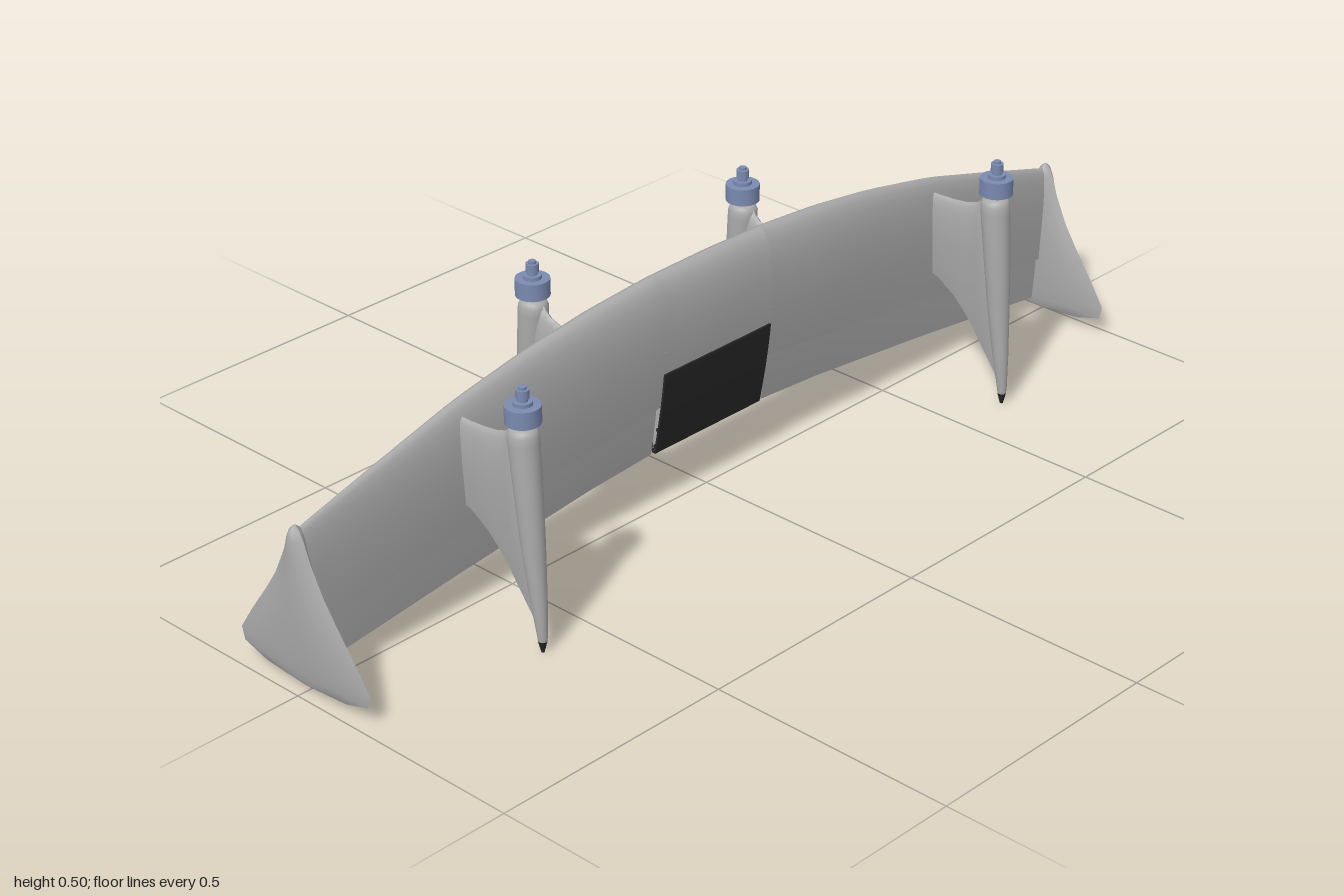
import * as THREE from 'three';
import { toCreasedNormals } from 'three/addons/utils/BufferGeometryUtils.js';

const mat = (name, color) => Object.assign(new THREE.MeshStandardMaterial({ color }), { name });

// piecewise-linear lookup in [[key, value], ...]
function lerpTable(table, k) {
  for (let i = 1; i < table.length; i++) {
    const [a, va] = table[i - 1], [b, vb] = table[i];
    if (k <= b) return va + (vb - va) * Math.max(0, (k - a) / (b - a));
  }
  return table[table.length - 1][1];
}

// wing planform, symmetric in x
const leading = x => lerpTable([[0, 0.481], [0.15, 0.479], [0.3, 0.468], [0.45, 0.449], [0.62, 0.417], [0.8, 0.368], [0.976, 0.318]], Math.abs(x));
const trailing = x => lerpTable([[0, 0.122], [0.14, 0.119], [0.3, 0.109], [0.62, 0.076], [0.96, 0.035]], Math.abs(x));
const hinge = x => 0.22 - (Math.abs(x) - 0.14) * 0.119;
const halfThick = x => lerpTable([[0, 0.033], [0.3, 0.031], [0.62, 0.023], [0.976, 0.012]], Math.abs(x));

// airfoil half thickness, peak about 1
const foil = c => Math.max(0, 10 * (0.2969 * Math.sqrt(c) - 0.126 * c - 0.3516 * c * c + 0.2843 * c ** 3 - 0.1036 * c ** 4));

// closed airfoil ring as [chordwise, thickness] pairs, for chord fractions c0..c1
function foilRing(top, bottom, h, c0 = 0, c1 = 1, n = 14) {
  const side = [];
  for (let i = 0; i <= n; i++) {
    const c = c0 + (c1 - c0) * (1 - Math.cos(Math.PI * i / n)) / 2;
    side.push([top + (bottom - top) * c, h * foil(c)]);
  }
  return [...side, ...side.map(([y, t]) => [y, -t]).reverse()];
}

// solid through rings of equal, even point count; point i is opposite point n-1-i
function loft(rings, crease = 0.7) {
  const n = rings[0].length, last = (rings.length - 1) * n, pos = rings.flat(2), tris = [];
  const quad = (a, b, c, d) => tris.push([a, b, c], [a, c, d]);
  for (let j = 0; j < rings.length - 1; j++) {
    for (let i = 0; i < n; i++) {
      const k = (i + 1) % n;
      quad(j * n + i, j * n + k, j * n + n + k, j * n + n + i);
    }
  }
  for (let i = 0; i < n / 2 - 1; i++) {
    quad(i + 1, i, n - 1 - i, n - 2 - i);
    quad(last + i, last + i + 1, last + n - 2 - i, last + n - 1 - i);
  }
  // turn faces outward
  const v = i => new THREE.Vector3(pos[3 * i], pos[3 * i + 1], pos[3 * i + 2]);
  const volume = tris.reduce((s, [a, b, c]) => s + v(a).dot(v(b).cross(v(c))), 0);
  if (volume < 0) tris.forEach(t => t.reverse());
  let geo = new THREE.BufferGeometry();
  geo.setAttribute('position', new THREE.Float32BufferAttribute(pos, 3));
  geo.setIndex(tris.flat());
  // enlarged while creasing so that close points stay distinct
  geo.scale(1000, 1000, 1000);
  geo = toCreasedNormals(geo, crease);
  return geo.scale(0.001, 0.001, 0.001);
}

const span = (a, b, n) => Array.from({ length: n + 1 }, (_, i) => a + (b - a) * i / n);

export function createModel() {
  const model = new THREE.Group();
  const shell = mat('shell grey', 0xababab);
  const dark = mat('hatch black', 0x262626);
  const motorBlue = mat('motor blue', 0x7a8ab0);
  const add = (parent, name, geo, material) => {
    const mesh = new THREE.Mesh(geo, material);
    mesh.name = name;
    parent.add(mesh);
    return mesh;
  };

  // wing slice between chord fractions given by functions of x
  const wingPart = (xs, from, to, scale = 1) => loft(xs.map(x =>
    foilRing(leading(x), trailing(x), halfThick(x) * scale, from(x), to(x)).map(([y, z]) => [x, y, z])));
  const hingeFraction = x => (leading(x) - hinge(x)) / (leading(x) - trailing(x));

  add(model, 'wingCentre', wingPart(span(-0.14, 0.14, 8), () => 0, () => 1), shell);

  // thin hatch plates following the wing surface, taller on the back
  const hatch = (yTop, sign) => loft(span(-0.14, 0.14, 4).map(x => {
    const rows = span(yTop, 0.119, 10).map(y => {
      const c = Math.min(1, (leading(x) - y) / (leading(x) - trailing(x)));
      return [y, halfThick(x) * foil(c)];
    });
    return [...rows.map(([y, z]) => [x, y, sign * (z + 0.004)]),
      ...rows.map(([y, z]) => [x, y, sign * (z - 0.003)]).reverse()];
  }));
  add(model, 'frontHatch', hatch(0.29, 1), dark);
  add(model, 'backHatch', hatch(0.385, -1), dark);

  // winglet stations: y, half depth in z, half thickness in x
  const wingletRows = [[0.013, 0.03, 0.002], [0.018, 0.1, 0.004], [0.035, 0.157, 0.007], [0.06, 0.163, 0.010],
    [0.11, 0.13, 0.014], [0.165, 0.09, 0.016], [0.21, 0.06, 0.016], [0.265, 0.033, 0.016], [0.3, 0.021, 0.015],
    [0.316, 0.012, 0.012], [0.325, 0.003, 0.004]];

  for (const s of [1, -1]) {
    const side = s > 0 ? 'left' : 'right';
    add(model, side + 'Wing', wingPart(span(s * 0.14, s * 0.976, 20), () => 0, hingeFraction), shell);
    add(model, side + 'Elevon', wingPart(span(s * 0.147, s * 0.96, 16), x => hingeFraction(x) - 0.05, () => 1, 0.82), shell);

    const winglet = wingletRows.map(([y, w, t]) => {
      const cx = s * (0.979 + 0.018 * y);
      const edge = span(-1, 1, 12).map(u => [w * u, t * (1 - u * u)]);
      return [...edge.map(([z, x]) => [cx + x, y, z]), ...edge.map(([z, x]) => [cx - x, y, z]).reverse()];
    });
    add(model, side + 'Winglet', loft(winglet), shell);

    // outer pods sit in front of the wing, inner pods behind it
    for (const [x, f, label] of [[0.62, 1, 'FrontPod'], [0.275, -1, 'BackPod']]) {
      const pod = new THREE.Group();
      pod.name = side + label;
      pod.position.x = s * x;
      model.add(pod);

      // pod body stations: y, centre z, radius
      const podRows = [[0.02, 0.2, 0.008], [0.03, 0.2, 0.0095], [0.1, 0.193, 0.0155], [0.2, 0.183, 0.022],
        [0.3, 0.175, 0.026], [0.4, 0.166, 0.029], [0.415, 0.165, 0.0285], [0.423, 0.165, 0.025], [0.427, 0.165, 0.019]];
      add(pod, 'podBody', loft(podRows.map(([y, z, r]) => span(0, 1, 19).map(u => {
        const a = (u * 19 + 0.5) / 20 * Math.PI * 2;
        return [r * 0.95 * Math.sin(a), y, f * (z + r * Math.cos(a))];
      }))), shell);

      // pylon stations: z, top y, bottom y, half thickness
      const pylonRows = [[0, 0.39, 0.225, 0.011], [0.035, 0.39, 0.212, 0.011], [0.07, 0.392, 0.19, 0.011],
        [0.1, 0.396, 0.162, 0.012], [0.122, 0.403, 0.136, 0.013], [0.133, 0.412, 0.121, 0.015],
        [0.14, 0.422, 0.111, 0.016], [0.15, 0.425, 0.098, 0.016], [0.18, 0.415, 0.058, 0.012], [0.19, 0.39, 0.038, 0.008]];
      add(pod, 'pylon', loft(pylonRows.map(([z, top, bottom, h]) =>
        foilRing(top, bottom, h).map(([y, t]) => [t, y, f * z]))), shell);

      // motor: neck, bell, collar, shaft nut
      const profile = [[0, 0.42], [0.012, 0.42], [0.012, 0.436], [0.032, 0.436], [0.032, 0.469], [0.017, 0.469],
        [0.017, 0.476], [0.009, 0.476], [0.009, 0.482], [0.012, 0.482], [0.012, 0.498], [0.007, 0.498], [0.007, 0.503], [0, 0.503]];
      const lathe = new THREE.LatheGeometry(profile.map(p => new THREE.Vector2(...p)), 24).scale(1000, 1000, 1000);
      const motor = add(pod, 'motor', toCreasedNormals(lathe, 0.7).scale(0.001, 0.001, 0.001), motorBlue);
      motor.position.set(0, f > 0 ? 0 : -0.002, f * 0.166);

      // landing foot
      const foot = add(pod, 'foot', new THREE.CylinderGeometry(0.0085, 0.003, 0.022, 16), dark);
      foot.position.set(0, 0.011, f * 0.2);
    }
  }
  return model;
}
